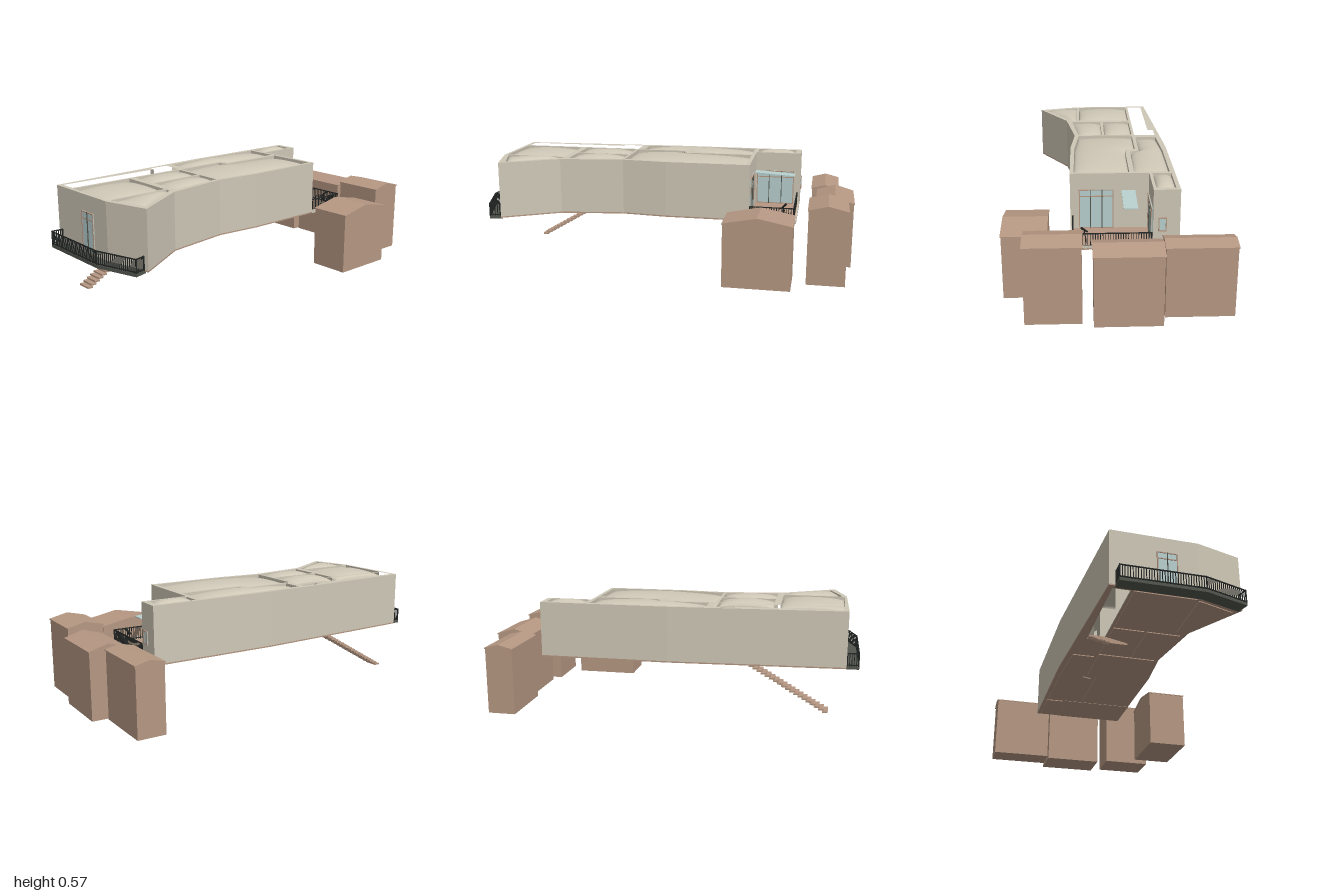
import * as THREE from 'three';
import { mergeGeometries } from 'three/addons/utils/BufferGeometryUtils.js';

const mat = (name, color, side = THREE.FrontSide) => {
  const m = new THREE.MeshStandardMaterial({ color, side });
  m.name = name;
  return m;
};

export function createModel() {
  const model = new THREE.Group();
  const plaster = mat('plaster', 0xcfc8b7);
  const membrane = mat('roof membrane', 0xcfc8b7, THREE.DoubleSide);
  const clay = mat('clay brown', 0xb69883);
  const glass = mat('glass', 0xb8d0cf, THREE.DoubleSide);
  const iron = mat('black iron', 0x232725);
  const slab = mat('balcony grey', 0x53564e);

  const add = (name, geo, material, parent = model) => {
    const m = new THREE.Mesh(geo, material);
    m.name = name;
    parent.add(m);
    return m;
  };
  const box = (w, h, d, x, y, z) => new THREE.BoxGeometry(w, h, d).translate(x, y, z);

  // Vertical prism from a plan of [x, z] points with optional holes
  const plan = pts => pts.map(([x, z]) => new THREE.Vector2(x, -z));
  const prism = (pts, y0, y1, holes = []) => {
    const s = new THREE.Shape(plan(pts));
    holes.forEach(h => s.holes.push(new THREE.Path(plan(h))));
    return new THREE.ExtrudeGeometry(s, { depth: y1 - y0, bevelEnabled: false })
      .rotateX(-Math.PI / 2).translate(0, y0, 0);
  };

  // Rooms as rows of [z, left x, right x], used for wall openings and roofs
  const rooms = [
    [[-0.67, -0.29, -0.195], [-0.455, -0.29, -0.195]],
    [[-0.43, -0.285, -0.105], [-0.085, -0.285, -0.105], [-0.07, -0.285, -0.155], [0.2, -0.27, -0.155]],
    [[-0.43, -0.08, 0.2], [-0.05, -0.08, 0.2], [-0.035, -0.135, 0.2], [0.235, -0.135, 0.175]],
    [[0.25, -0.135, 0.025], [0.545, -0.135, 0.025]],
    [[0.25, 0.04, 0.175], [0.545, 0.04, 0.215]],
    [[0.58, -0.135, 0.172], [0.915, -0.135, 0.172]],
    [[0.58, 0.185, 0.213], [0.84, 0.185, 0.38], [0.9, 0.185, 0.2]],
  ];
  const outlineOf = rows => [
    ...rows.map(([z, l]) => [l, z]),
    ...[...rows].reverse().map(([z, , r]) => [r, z]),
  ];

  // Outer walls, with rooms and the stair court left open
  const outline = [
    [-0.31, -0.7], [-0.18, -0.7], [-0.18, -0.45], [0.22, -0.45], [0.22, 0], [0.198, 0.24],
    [0.25, 0.58], [0.42, 0.865], [0.185, 0.93], [-0.26, 0.935], [-0.31, 0],
  ];
  const court = [[-0.27, 0.24], [-0.15, 0.24], [-0.15, 0.91], [-0.238, 0.91], [-0.238, 0.35], [-0.27, 0.35]];
  const stairHole = [[-0.238, 0.39], [-0.15, 0.39], [-0.15, 0.91], [-0.238, 0.91]];
  add('walls', prism(outline, 0.265, 0.56, [...rooms.map(outlineOf), court]), plaster);
  add('floor', prism(outline, 0.258, 0.265, [stairHole]), clay);
  rooms.forEach(r => add('floorPanel', prism(outlineOf(r), 0.253, 0.258), clay));

  // Cushion-shaped roof over each room
  const cushion = rows => {
    const n = 20, pos = [], idx = [];
    const ease = i => (1 - Math.cos(Math.PI * i / n)) / 2;
    const z0 = rows[0][0], z1 = rows[rows.length - 1][0];
    for (let j = 0; j <= n; j++) {
      const v = ease(j), z = z0 + (z1 - z0) * v;
      let k = 0;
      while (k < rows.length - 2 && z > rows[k + 1][0]) k++;
      const [a, b] = [rows[k], rows[k + 1]], t = (z - a[0]) / (b[0] - a[0]);
      const l = a[1] + (b[1] - a[1]) * t, r = a[2] + (b[2] - a[2]) * t;
      for (let i = 0; i <= n; i++) {
        const u = ease(i), bump = Math.max(0, 16 * u * (1 - u) * v * (1 - v)) ** 0.4;
        pos.push(l + (r - l) * u, 0.535 + 0.036 * bump, z);
        if (i < n && j < n) {
          const p = j * (n + 1) + i, q = p + n + 1;
          idx.push(p, q, p + 1, p + 1, q, q + 1);
        }
      }
    }
    const g = new THREE.BufferGeometry();
    g.setAttribute('position', new THREE.Float32BufferAttribute(pos, 3));
    g.setIndex(idx);
    g.computeVertexNormals();
    return g;
  };
  rooms.forEach(r => add('roofCushion', cushion(r), membrane));

  // Railing along a path of [x, z] points
  const railing = (name, pts, y0, y1) => {
    const parts = [];
    for (let i = 0; i < pts.length - 1; i++) {
      const [ax, az] = pts[i], [bx, bz] = pts[i + 1];
      const len = Math.hypot(bx - ax, bz - az), n = Math.max(2, Math.round(len / 0.0125));
      for (const y of [y0 + 0.006, y1 - 0.003]) {
        parts.push(new THREE.BoxGeometry(len, 0.005, 0.005)
          .rotateY(-Math.atan2(bz - az, bx - ax)).translate((ax + bx) / 2, y, (az + bz) / 2));
      }
      for (let k = 0; k <= n; k++) {
        const t = k / n, w = k % n ? 0.0035 : 0.006;
        parts.push(box(w, y1 - y0, w, ax + (bx - ax) * t, (y0 + y1) / 2, az + (bz - az) * t));
      }
    }
    add(name, mergeGeometries(parts), iron);
  };

  // Front balcony
  add('balcony', prism([[-0.23, 0.93], [0.185, 0.93], [0.4, 0.865], [0.418, 0.93], [0.19, 1], [-0.23, 1]], 0.25, 0.266), slab);
  railing('balconyRailing', [[-0.227, 0.938], [-0.227, 0.997], [0.19, 0.997], [0.415, 0.928], [0.402, 0.877]], 0.266, 0.337);

  // Rear terrace
  add('terraceFloor', prism([[-0.18, -0.7], [0.22, -0.7], [0.22, -0.45], [-0.18, -0.45]], 0.256, 0.266), clay);
  add('terraceCurb', mergeGeometries([
    box(0.4, 0.018, 0.008, 0.02, 0.266, -0.696), box(0.008, 0.018, 0.25, 0.217, 0.266, -0.575),
  ]), plaster);
  railing('terraceRailing', [[-0.175, -0.685], [0.208, -0.685], [0.208, -0.455]], 0.266, 0.337);

  // Glazed opening facing +z, standing on its origin
  const glazing = (name, w, h, panes, transom, x, y, z, turn) => {
    const g = new THREE.Group();
    g.name = name;
    add('pane', box(w, h, 0.004, 0, h / 2, 0.001), glass, g);
    const b = 0.005, bars = [box(w, b, 0.008, 0, h - b / 2, 0.002), box(w, b, 0.008, 0, b / 2, 0.002)];
    if (transom) bars.push(box(w, b, 0.008, 0, transom, 0.002));
    for (const s of [-1, 1]) bars.push(box(b, h, 0.008, s * (w - b) / 2, h / 2, 0.002));
    add('frame', mergeGeometries(bars), clay, g);
    for (let i = 1; i < panes; i++) add('mullion', box(0.004, h, 0.008, -w / 2 + w * i / panes, h / 2, 0.003), slab, g);
    g.position.set(x, y, z);
    g.rotation.y = turn;
    model.add(g);
  };
  glazing('frontDoor', 0.103, 0.21, 2, 0.174, 0.023, 0.266, 0.933, 0);
  glazing('terraceDoor', 0.175, 0.21, 3, 0.174, 0.088, 0.266, -0.451, Math.PI);
  glazing('sideDoor', 0.21, 0.19, 3, 0.155, -0.179, 0.266, -0.56, Math.PI / 2);
  glazing('rearWindow', 0.04, 0.07, 1, 0, -0.225, 0.35, -0.701, Math.PI);

  // Glass canopy over the terrace
  const canopy = add('canopy', new THREE.BoxGeometry(0.07, 0.004, 0.22), glass);
  canopy.position.set(-0.075, 0.462, -0.565);
  canopy.rotation.x = -0.06;

  // Small spyglass on a tripod
  const scope = new THREE.Group();
  scope.name = 'spyglass';
  const tube = add('tube', new THREE.CylinderGeometry(0.006, 0.004, 0.05, 8), iron, scope);
  tube.position.y = 0.065;
  tube.rotation.set(-0.7, 0, -0.6);
  for (let i = 0; i < 3; i++) {
    const a = i * Math.PI * 2 / 3;
    const path = new THREE.LineCurve3(new THREE.Vector3(0, 0.06, 0),
      new THREE.Vector3(0.018 * Math.cos(a), 0, 0.018 * Math.sin(a)));
    add('leg', new THREE.TubeGeometry(path, 1, 0.002, 5), iron, scope);
  }
  scope.position.set(0.15, 0.266, -0.63);
  model.add(scope);

  // Stair descending toward the front
  const steps = [];
  for (let i = 0; i < 20; i++) steps.push(box(0.084, 0.009, 0.03, -0.194, 0.255 - i * 0.01285, 0.42 + i * 0.0219));
  add('stairs', mergeGeometries(steps), clay);

  // Gabled outbuildings: x range, z range, eave and ridge heights
  const gable = (x0, x1, pts) => new THREE.ExtrudeGeometry(
    new THREE.Shape(pts.map(([z, y]) => new THREE.Vector2(-z, y))), { depth: x1 - x0, bevelEnabled: false })
    .rotateY(Math.PI / 2).translate(x0, 0, 0);
  [
    [-0.56, -0.22, -0.92, -0.765, 0.355, 0.374],
    [-0.215, 0.116, -1, -0.797, 0.352, 0.382],
    [0.16, 0.437, -0.965, -0.763, 0.387, 0.411],
    [0.33, 0.557, -0.7, -0.35, 0.33, 0.364],
  ].forEach(([x0, x1, z0, z1, e, r]) => {
    const c = (z0 + z1) / 2, i = 0.004, t = 0.006;
    add('outbuildingWalls', gable(x0 + i, x1 - i,
      [[z0 + i, 0], [z0 + i, e - t / 2], [c, r - t], [z1 - i, e - t / 2], [z1 - i, 0]]), clay);
    add('outbuildingRoof', gable(x0, x1,
      [[z0, e - t], [z0, e], [c, r], [z1, e], [z1, e - t], [c, r - t]]), clay);
  });

  return model;
}
